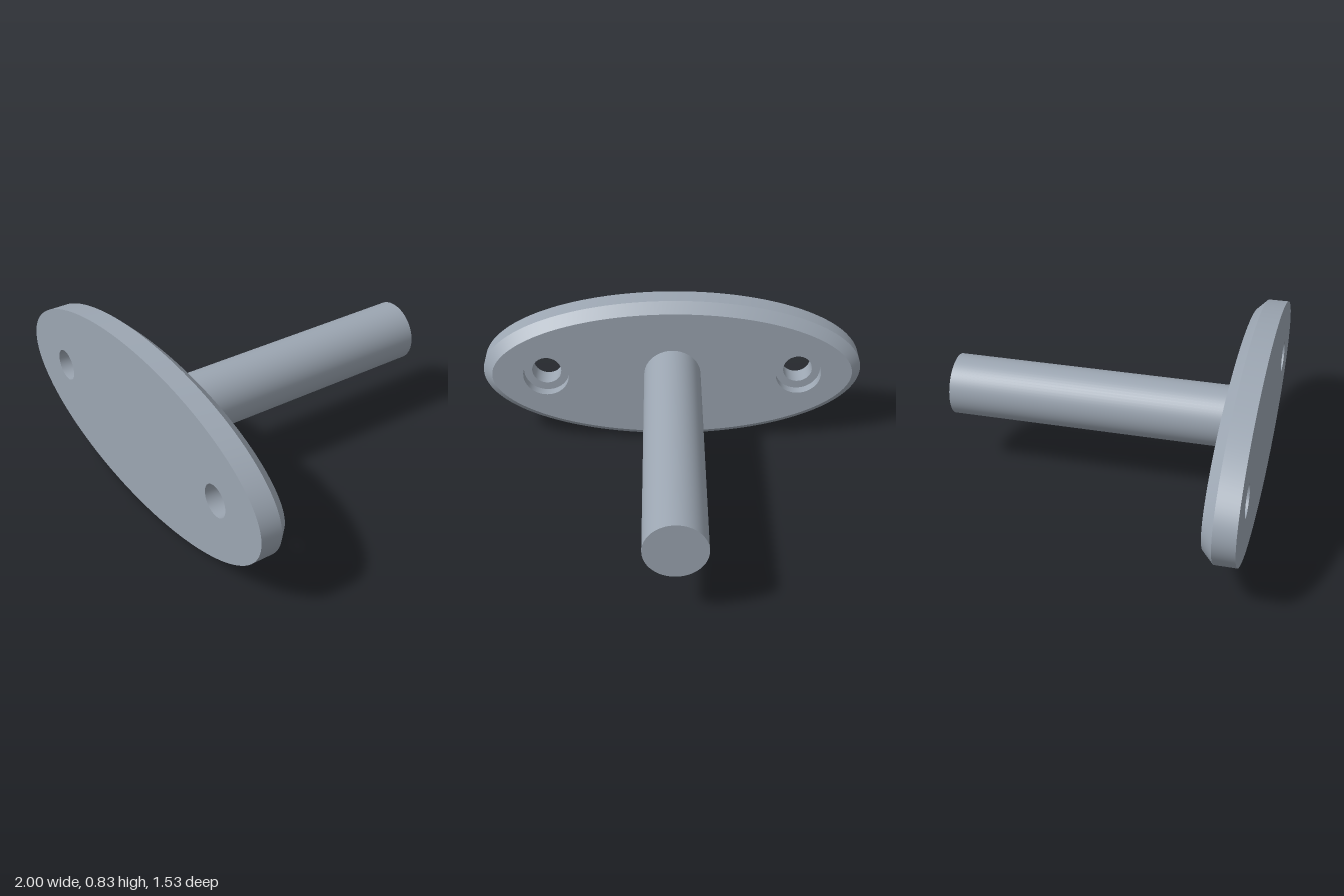
import * as THREE from 'three';

const CY = 0.417, A = 1, B = 0.417;              // plate centre height, half-axes
const FRONT = 0.767, RIM = 0.667, BACK = 0.617;  // plate levels in z
const HOLE_X = 0.667, HOLE_R = 0.077, BORE_R = 0.12, LEDGE = 0.667;
const ROD_R = 0.149, ROD_END = -0.767;

// Ellipse outline, moved inwards along its normal by inset
function ellipse(a, b, inset = 0, cx = 0, n = 128) {
  return Array.from({ length: n }, (_, i) => {
    const t = (i / n) * Math.PI * 2, c = Math.cos(t), s = Math.sin(t);
    const l = Math.hypot(b * c, a * s);
    return new THREE.Vector2(cx + a * c - (inset * b * c) / l, b * s - (inset * a * s) / l);
  });
}

// Smooth closed band between two outlines; faces outwards when z0 < z1, inwards when z0 > z1
function band(p, z0, q, z1) {
  const n = p.length, pos = [], idx = [];
  p.forEach((v) => pos.push(v.x, v.y, z0));
  q.forEach((v) => pos.push(v.x, v.y, z1));
  for (let i = 0; i < n; i++) {
    const j = (i + 1) % n;
    idx.push(i, j, n + j, i, n + j, n + i);
  }
  const g = new THREE.BufferGeometry();
  g.setAttribute('position', new THREE.Float32BufferAttribute(pos, 3));
  g.setIndex(idx);
  g.computeVertexNormals();
  return g;
}

// Flat face with two round holes
function face(outline, r, z, backwards) {
  const shape = new THREE.Shape(outline);
  for (const s of [-1, 1]) shape.holes.push(new THREE.Path(ellipse(r, r, 0, s * HOLE_X, 48)));
  const g = new THREE.ShapeGeometry(shape);
  if (backwards) g.rotateY(Math.PI);
  return g.translate(0, 0, z);
}

export function createModel() {
  const steel = new THREE.MeshStandardMaterial({ color: 0x9ca6b2 });
  steel.name = 'steel grey';
  const model = new THREE.Group();
  model.name = 'ovalMountingPost';
  const plate = new THREE.Group();
  plate.name = 'ovalPlate';
  plate.position.y = CY;
  model.add(plate);
  const add = (parent, name, geometry) => {
    const mesh = new THREE.Mesh(geometry, steel);
    mesh.name = name;
    parent.add(mesh);
    return mesh;
  };

  // Oval plate with a chamfer round its back edge
  const outer = ellipse(A, B), inner = ellipse(A, B, 0.05);
  add(plate, 'plateFront', face(outer, HOLE_R, FRONT, false));
  add(plate, 'plateRim', band(outer, RIM, outer, FRONT));
  add(plate, 'plateChamfer', band(inner, BACK, outer, RIM));
  add(plate, 'plateBack', face(inner, BORE_R, BACK, true));

  // Screw holes, counterbored from the back
  for (const [side, s] of [['right', -1], ['left', 1]]) {
    const x = s * HOLE_X;
    const hole = ellipse(HOLE_R, HOLE_R, 0, x, 48), bore = ellipse(BORE_R, BORE_R, 0, x, 48);
    add(plate, side + 'HoleWall', band(hole, FRONT, hole, LEDGE));
    add(plate, side + 'CounterboreWall', band(bore, LEDGE, bore, BACK));
    const ledge = new THREE.RingGeometry(HOLE_R, BORE_R, 48).rotateY(Math.PI);
    add(plate, side + 'CounterboreLedge', ledge.translate(x, 0, LEDGE));
  }

  // Round post standing out of the back
  const length = BACK - ROD_END;
  const post = add(model, 'post', new THREE.CylinderGeometry(ROD_R, ROD_R, length, 64).rotateX(Math.PI / 2));
  post.position.set(0, CY, (BACK + ROD_END) / 2);
  return model;
}
